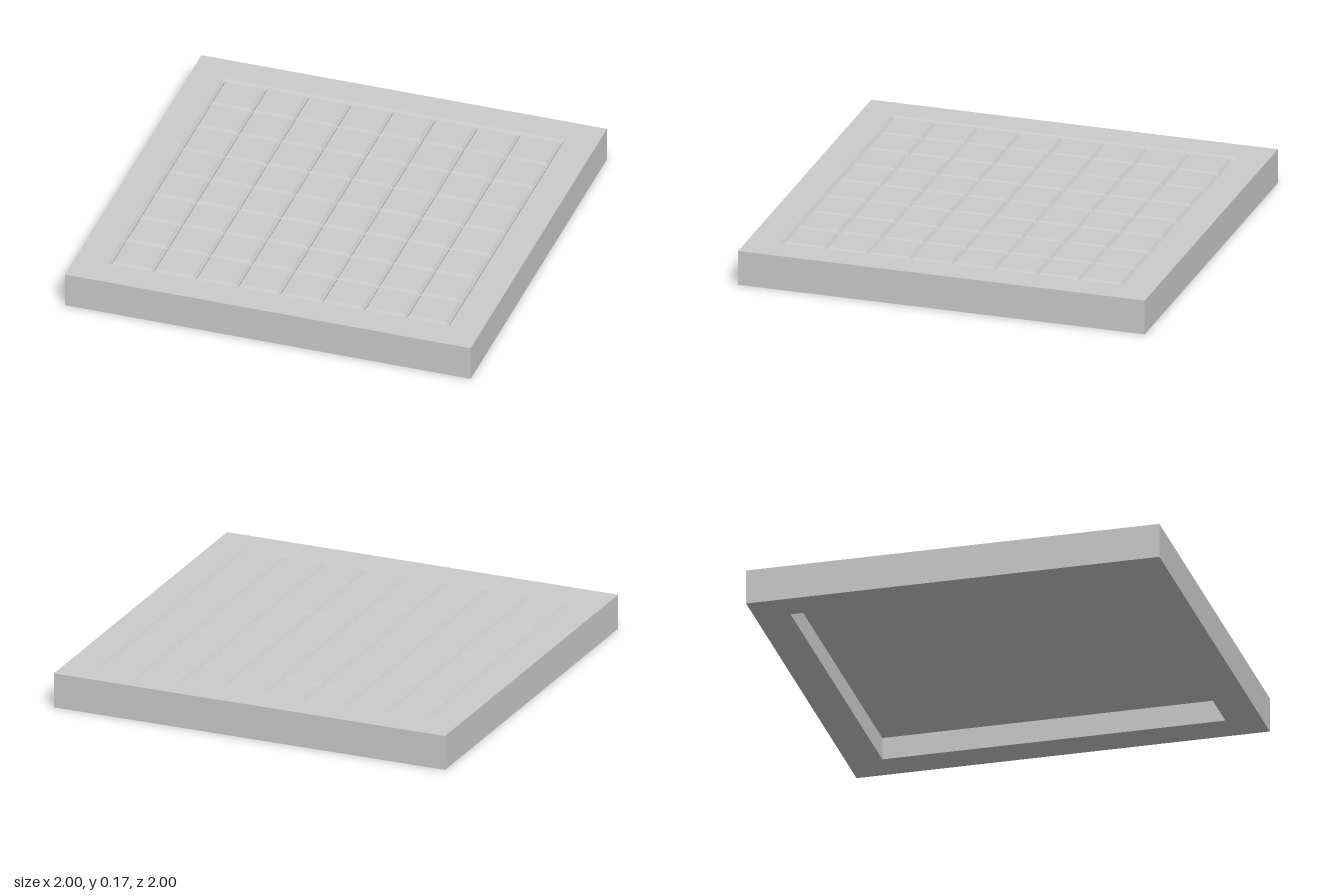
import * as THREE from 'three';

const HEIGHT = 0.17;
const CELLS = 8;
const PITCH = 0.208;
const GROOVE = 0.012;      // half width of a V-groove
const DEPTH = 0.018;       // depth of a V-groove
const RECESS = 0.83;       // half size of the hollow underneath
const CEILING = 0.11;      // height of the hollow's ceiling

// Top face: a height grid whose lines follow both lips and the valley of each groove
function grooveTop() {
  const lines = [{ p: -1, valley: false }];
  for (let k = 0; k <= CELLS; k++) {
    const c = (k - CELLS / 2) * PITCH;
    lines.push({ p: c - GROOVE, valley: false }, { p: c, valley: true }, { p: c + GROOVE, valley: false });
  }
  lines.push({ p: 1, valley: false });

  const limit = CELLS / 2 * PITCH + GROOVE / 2;
  const vertex = (a, b) => {
    const inside = Math.abs(a.p) < limit && Math.abs(b.p) < limit;
    const low = inside && (a.valley || b.valley);
    return [a.p, low ? HEIGHT - DEPTH : HEIGHT, b.p];
  };

  const pos = [];
  for (let i = 0; i < lines.length - 1; i++) {
    for (let j = 0; j < lines.length - 1; j++) {
      const a = vertex(lines[i], lines[j]);
      const b = vertex(lines[i], lines[j + 1]);
      const c = vertex(lines[i + 1], lines[j + 1]);
      const d = vertex(lines[i + 1], lines[j]);
      // the split runs through the odd corner so that crossings are mitred
      if (a[1] !== c[1]) pos.push(...a, ...b, ...c, ...a, ...c, ...d);
      else pos.push(...a, ...b, ...d, ...b, ...c, ...d);
    }
  }
  const geo = new THREE.BufferGeometry();
  geo.setAttribute('position', new THREE.Float32BufferAttribute(pos, 3));
  geo.computeVertexNormals();
  return geo;
}

// Outer walls, bottom rim and hollow underside: a square section swept in four sides
function hollowBody() {
  const profile = [[0, CEILING], [RECESS, CEILING], [RECESS, 0], [1, 0], [1, HEIGHT]]
    .map(([r, y]) => new THREE.Vector2(r * Math.SQRT2, y));
  const geo = new THREE.LatheGeometry(profile, 4, Math.PI / 4).toNonIndexed();
  geo.computeVertexNormals();
  return geo;
}

export function createModel() {
  const group = new THREE.Group();
  group.name = 'gameBoard';
  const material = new THREE.MeshStandardMaterial({ color: 0xcccccc, flatShading: true });

  const body = new THREE.Mesh(hollowBody(), material);
  body.name = 'boardBody';

  const top = new THREE.Mesh(grooveTop(), material);
  top.name = 'groovedTop';

  group.add(body, top);
  return group;
}
